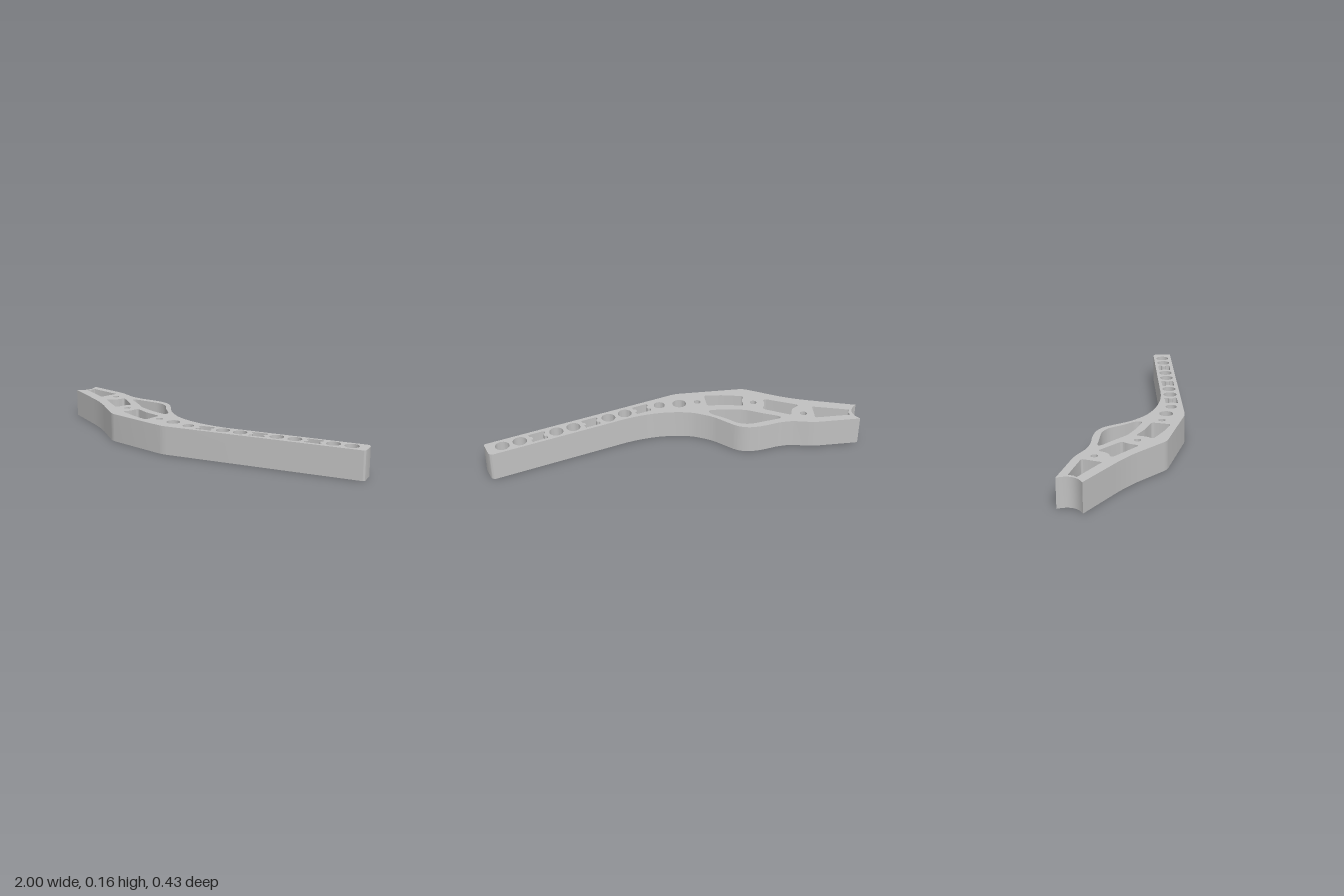
import * as THREE from 'three';
import { toCreasedNormals } from 'three/addons/utils/BufferGeometryUtils.js';

const HEIGHT = 0.155;
const v = (x, z) => new THREE.Vector2(x, -z); // plan (x, z) to shape plane

// Closed polygon with every corner rounded by radius r; corners run clockwise in
// plan and are reversed so that the pocket walls face into the opening
function roundedHole(points, r) {
  const p = points.map(([x, z]) => v(x, z)).reverse();
  const path = new THREE.Path();
  p.forEach((c, i) => {
    const prev = p[(i + p.length - 1) % p.length], next = p[(i + 1) % p.length];
    const toward = (q) => c.clone().lerp(q, Math.min(0.45, r / c.distanceTo(q)));
    const a = toward(prev), b = toward(next);
    if (i === 0) path.moveTo(a.x, a.y); else path.lineTo(a.x, a.y);
    path.quadraticCurveTo(c.x, c.y, b.x, b.y);
  });
  path.closePath();
  return path;
}

function roundHole(x, z, r) {
  return new THREE.Path().absarc(x, -z, r, 0, Math.PI * 2, false);
}

// Slot in the arm with a small tab reaching in from each end
function tabbedSlot(x, z) {
  const end = [[0.043, -0.034], [0.043, -0.012], [0.031, -0.012], [0.031, 0.012], [0.043, 0.012], [0.043, 0.034]];
  const local = [...end, ...end.map(([a, b]) => [-a, -b])];
  const c = Math.cos(0.315), s = Math.sin(0.315);
  return roundedHole(local.map(([a, b]) => [x + a * c + b * s, z - a * s + b * c]), 0.007);
}

export function createModel() {
  const group = new THREE.Group();
  group.name = 'sideRail';
  const grey = new THREE.MeshStandardMaterial({ color: 0xc0c0c0 });
  grey.name = 'grey';

  // Outer profile: hooked end, humped back edge, straight arm, angled front edge
  const shape = new THREE.Shape();
  const line = (x, z) => shape.lineTo(x, -z);
  const bend = (cx, cz, x, z) => shape.quadraticCurveTo(cx, -cz, x, -z);
  shape.moveTo(-0.985, 0.163);
  line(-0.765, -0.163);
  bend(-0.735, -0.162, -0.71, -0.157);
  line(-0.635, -0.139);
  bend(-0.595, -0.133, -0.535, -0.142);
  bend(-0.45, -0.164, -0.405, -0.163);
  bend(-0.345, -0.163, -0.3, -0.122);
  line(-0.225, -0.05);
  bend(-0.19, -0.02, -0.12, 0.012);
  bend(-0.05, 0.04, 0.06, 0.04);
  bend(0.18, 0.038, 0.32, -0.012);
  line(0.945, -0.215);
  bend(0.97, -0.222, 0.978, -0.2);
  line(0.998, -0.136);
  bend(1.003, -0.123, 0.99, -0.119);
  line(0, 0.204);
  bend(-0.035, 0.217, -0.06, 0.217);
  line(-0.4, 0.217);
  bend(-0.425, 0.217, -0.45, 0.202);
  line(-0.6, 0.117);
  bend(-0.68, 0.075, -0.77, 0.046);
  line(-1, -0.03);
  bend(-0.925, -0.09, -0.985, -0.163);

  // Weight-saving pockets in the wide end
  shape.holes.push(
    roundedHole([[-0.945, -0.12], [-0.75, -0.12], [-0.76, -0.013], [-0.955, -0.073], [-0.938, -0.095]], 0.012),
    roundedHole([[-0.632, -0.078], [-0.49, 0.002], [-0.508, 0.04], [-0.515, 0.1], [-0.695, 0.012], [-0.645, -0.022]], 0.02),
    roundedHole([[-0.393, 0.046], [-0.3, 0.07], [-0.197, 0.076], [-0.197, 0.18], [-0.3, 0.168], [-0.412, 0.142], [-0.394, 0.1]], 0.018),
    roundedHole([[-0.57, -0.1], [-0.47, -0.118], [-0.395, -0.132], [-0.335, -0.118], [-0.27, -0.055],
      [-0.2, -0.005], [-0.198, 0.032], [-0.3, 0.024], [-0.4, 0.005], [-0.48, -0.04], [-0.565, -0.08]], 0.03),
  );

  // Drilled holes
  const drilled = [[-0.698, -0.072, 0.018], [-0.452, 0.072, 0.018], [-0.15, 0.12, 0.018], [-0.05, 0.117, 0.037],
    [0.06, 0.117, 0.03], [0.254, 0.063, 0.037], [0.345, 0.034, 0.037], [0.535, -0.028, 0.037],
    [0.626, -0.057, 0.037], [0.816, -0.119, 0.037], [0.906, -0.148, 0.037]];
  for (const [x, z, r] of drilled) shape.holes.push(roundHole(x, z, r));

  // Tabbed slots along the arm
  for (const [x, z] of [[0.159, 0.093], [0.44, 0.003], [0.721, -0.089]]) shape.holes.push(tabbedSlot(x, z));

  let geometry = new THREE.ExtrudeGeometry(shape, { depth: HEIGHT, bevelEnabled: false, curveSegments: 14 });
  geometry.rotateX(-Math.PI / 2);
  geometry = toCreasedNormals(geometry, 0.5);
  const rail = new THREE.Mesh(geometry, grey);
  rail.name = 'perforatedRail';
  group.add(rail);
  return group;
}
